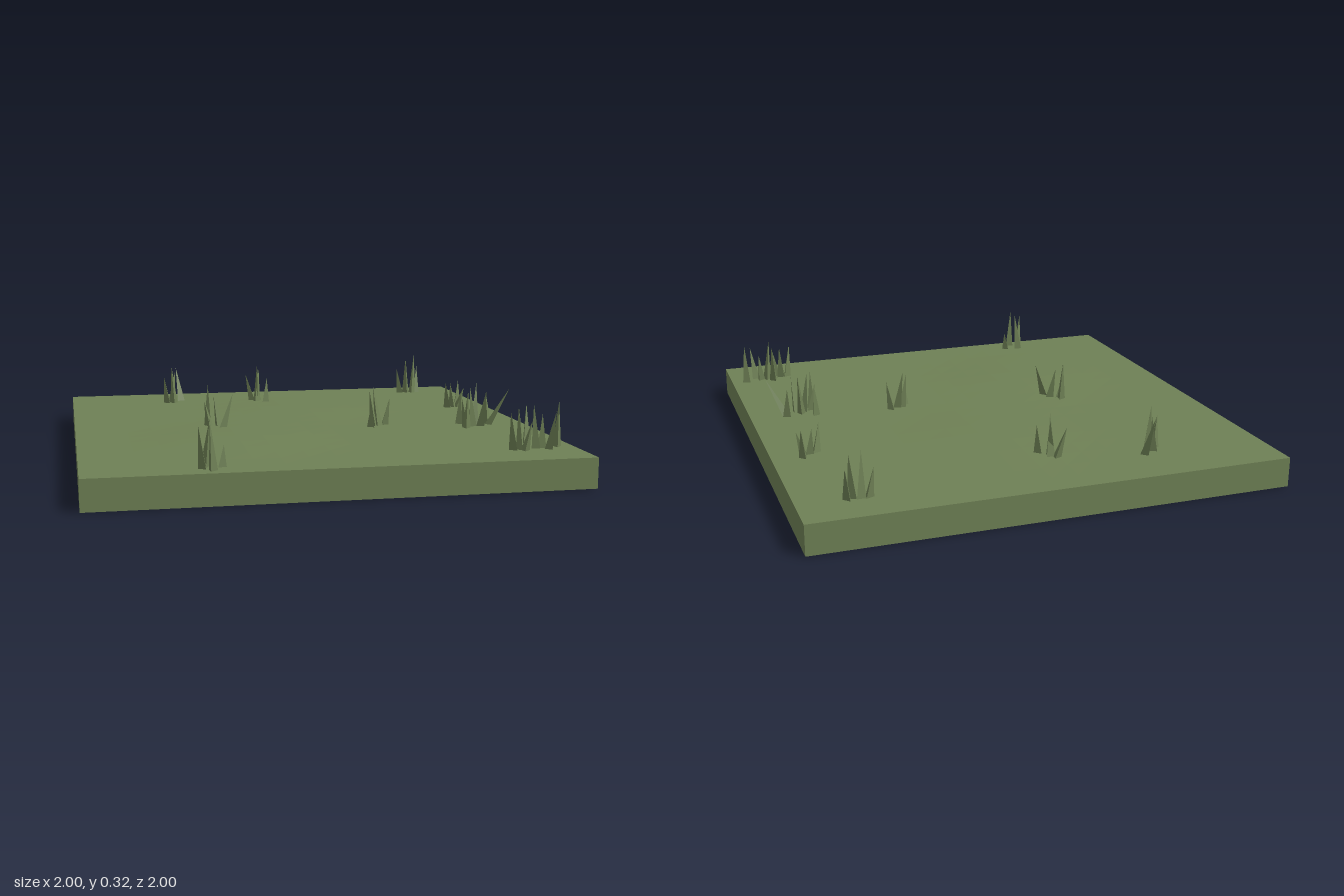
import * as THREE from 'three';

const TOP = 0.125;

// Gentle swells in the turf, fading to zero at the rim
function groundHeight(x, z) {
  const swell = (cx, cz, h, r) => h * Math.exp(-((x - cx) ** 2 + (z - cz) ** 2) / (r * r));
  const rim = Math.min(1, (1 - Math.abs(x)) * 4) * Math.min(1, (1 - Math.abs(z)) * 4);
  return TOP + rim * (swell(-0.33, 0.36, 0.013, 0.36) + swell(0.05, -0.36, 0.011, 0.38));
}

// Three-sided blade with a leaning tip
function makeBlade(x, z, tipX, tipZ, tipY, twist, material) {
  const base = groundHeight(x, z) - 0.004;
  const height = tipY - base;
  const geo = new THREE.ConeGeometry(0.021, height, 3, 1, false, twist);
  geo.translate(0, height / 2, 0);
  const p = geo.attributes.position;
  for (let i = 0; i < p.count; i++) {
    const t = p.getY(i) / height;
    p.setX(i, p.getX(i) + (tipX - x) * t);
    p.setZ(i, p.getZ(i) + (tipZ - z) * t);
  }
  geo.computeVertexNormals();
  const blade = new THREE.Mesh(geo, material);
  blade.name = 'grassBlade';
  blade.position.set(x, base, z);
  return blade;
}

export function createModel() {
  const model = new THREE.Group();
  model.name = 'grassTile';
  const green = new THREE.MeshStandardMaterial({ color: 0x6e8055, side: THREE.DoubleSide, flatShading: true });
  green.name = 'mossGreen';

  // Turf surface
  const turfGeo = new THREE.PlaneGeometry(2, 2, 18, 18).rotateX(-Math.PI / 2);
  const p = turfGeo.attributes.position;
  for (let i = 0; i < p.count; i++) p.setY(i, groundHeight(p.getX(i), p.getZ(i)));
  turfGeo.computeVertexNormals();
  const turf = new THREE.Mesh(turfGeo, green);
  turf.name = 'turf';
  model.add(turf);

  // Four side walls, open underneath
  for (let i = 0; i < 4; i++) {
    const wall = new THREE.Mesh(new THREE.PlaneGeometry(2, TOP), green);
    const a = i * Math.PI / 2;
    wall.name = 'sideWall';
    wall.position.set(Math.sin(a), TOP / 2, Math.cos(a));
    wall.rotation.y = a;
    model.add(wall);
  }

  // Tufts: each blade is [base x, base z, tip x, tip z, tip height]
  const addTuft = (name, blades) => {
    const tuft = new THREE.Group();
    tuft.name = name;
    blades.forEach((b, i) => tuft.add(makeBlade(...b, i * 1.7 + 0.4, green)));
    model.add(tuft);
  };
  addTuft('tuftBackRight', [
    [-0.53, -0.71, -0.55, -0.69, 0.26], [-0.50, -0.70, -0.51, -0.71, 0.31],
    [-0.51, -0.74, -0.49, -0.76, 0.28], [-0.46, -0.77, -0.48, -0.81, 0.29],
  ]);
  addTuft('tuftBackMiddle', [
    [-0.10, -0.69, -0.135, -0.71, 0.26], [-0.08, -0.67, -0.085, -0.65, 0.31],
    [-0.09, -0.65, -0.07, -0.69, 0.29], [-0.05, -0.62, -0.04, -0.62, 0.25],
  ]);
  addTuft('tuftBackLeft', [
    [0.72, -0.83, 0.70, -0.84, 0.25], [0.75, -0.83, 0.74, -0.81, 0.31],
    [0.78, -0.82, 0.80, -0.86, 0.32], [0.80, -0.83, 0.815, -0.86, 0.26],
  ]);
  addTuft('tuftLeft', [
    [0.81, -0.30, 0.79, -0.28, 0.25], [0.84, -0.31, 0.83, -0.33, 0.24],
    [0.86, -0.31, 0.89, -0.30, 0.22], [0.87, -0.35, 0.88, -0.36, 0.25],
  ]);
  addTuft('tuftRight', [
    [-0.41, 0.00, -0.41, -0.02, 0.31], [-0.41, 0.03, -0.43, 0.02, 0.24],
    [-0.37, 0.04, -0.39, 0.02, 0.27], [-0.36, 0.08, -0.31, 0.07, 0.28],
  ]);
  addTuft('tuftMiddle', [
    [0.30, 0.17, 0.295, 0.18, 0.23], [0.32, 0.14, 0.30, 0.13, 0.28],
    [0.34, 0.14, 0.32, 0.11, 0.30], [0.37, 0.12, 0.39, 0.14, 0.25],
  ]);
  addTuft('tuftCenterLeft', [
    [0.715, 0.16, 0.72, 0.15, 0.27], [0.72, 0.24, 0.70, 0.23, 0.25], [0.71, 0.27, 0.71, 0.28, 0.29],
    [0.75, 0.23, 0.73, 0.25, 0.30], [0.77, 0.20, 0.79, 0.16, 0.31], [0.79, 0.23, 0.80, 0.27, 0.29],
    [0.84, 0.20, 0.92, 0.235, 0.29], [0.84, 0.18, 0.84, 0.15, 0.26],
  ]);
  addTuft('tuftFrontLeft', [
    [0.73, 0.79, 0.71, 0.80, 0.28], [0.76, 0.79, 0.77, 0.73, 0.29], [0.77, 0.81, 0.79, 0.83, 0.25],
    [0.80, 0.74, 0.81, 0.71, 0.30], [0.83, 0.77, 0.81, 0.79, 0.31], [0.86, 0.77, 0.87, 0.74, 0.26],
    [0.88, 0.80, 0.90, 0.81, 0.28], [0.93, 0.755, 0.935, 0.75, 0.31],
  ]);
  addTuft('tuftFrontRight', [
    [-0.54, 0.91, -0.56, 0.93, 0.29], [-0.53, 0.88, -0.51, 0.87, 0.31],
    [-0.51, 0.95, -0.52, 0.96, 0.31], [-0.47, 0.89, -0.46, 0.89, 0.21],
  ]);
  return model;
}
